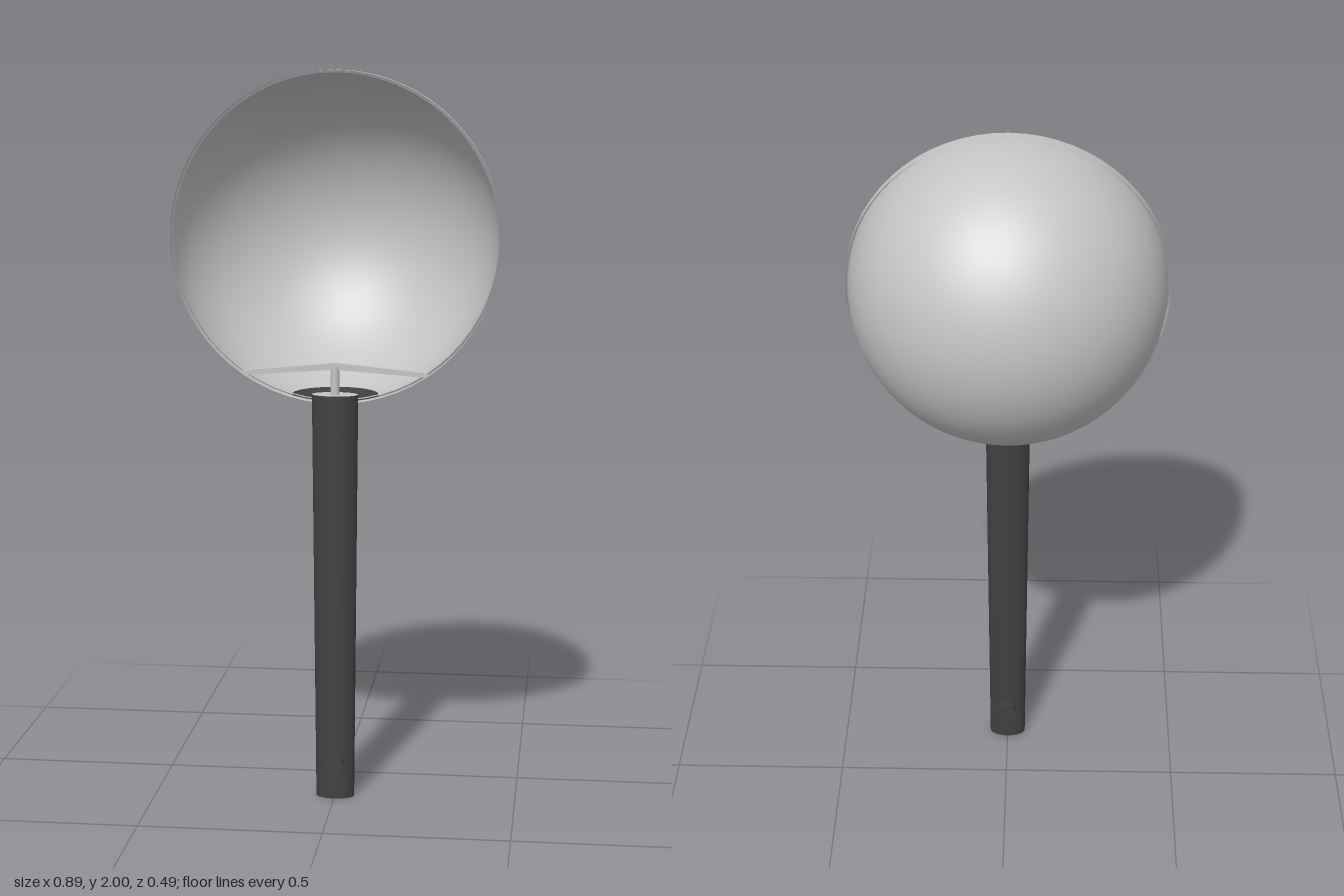
import * as THREE from 'three';

const steel = new THREE.MeshStandardMaterial({ color: 0xc4c4c4, side: THREE.DoubleSide });
steel.name = 'steel';
const darkGrip = new THREE.MeshStandardMaterial({ color: 0x404040, side: THREE.DoubleSide });
darkGrip.name = 'darkGrip';

const CENTER_Y = 1.555, RIM_Z = 0.197, BOWL_R = 0.438;

export function createModel() {
  const model = new THREE.Group();
  const add = (name, geometry, material, x = 0, y = 0, z = RIM_Z) => {
    const mesh = new THREE.Mesh(geometry, material);
    mesh.name = name;
    mesh.position.set(x, y, z);
    model.add(mesh);
    return mesh;
  };

  // Hemispherical bowl, open towards the front
  const bowl = new THREE.SphereGeometry(BOWL_R, 64, 24, 0, Math.PI * 2, 0, Math.PI / 2);
  bowl.rotateX(-Math.PI / 2);
  add('bowl', bowl, steel, 0, CENTER_Y);

  // Thin open band around the rim
  const band = new THREE.CylinderGeometry(0.445, 0.445, 0.032, 64, 1, true);
  band.rotateX(Math.PI / 2);
  add('rimBand', band, steel, 0, CENTER_Y, 0.194);

  // Dark half-round patch where the handle meets the bowl, inside and outside
  for (const [name, r] of [['innerSocket', BOWL_R - 0.003], ['outerSocket', BOWL_R + 0.003]]) {
    const cap = new THREE.SphereGeometry(r, 32, 6, 0, Math.PI, Math.PI - 0.27, 0.27);
    cap.rotateY(Math.PI);
    add(name, cap, darkGrip, 0, CENTER_Y);
  }

  // Flattened tapering handle with a pale top
  const handle = new THREE.CylinderGeometry(0.063, 0.053, 1.134, 40);
  handle.scale(1, 1, 0.6);
  add('handle', handle, [darkGrip, steel, darkGrip], 0, 0.567);

  // Cross pin near the foot of the handle
  const pin = new THREE.CylinderGeometry(0.026, 0.026, 0.1, 24);
  pin.rotateX(Math.PI / 2);
  add('crossPin', pin, darkGrip, 0, 0.105);

  // Shallow peaked bar across the lower rim, with its post
  const barShape = new THREE.Shape([
    [-0.25, 1.184], [0, 1.202], [0.25, 1.184], [0.25, 1.196], [0, 1.22], [-0.25, 1.196],
  ].map(([x, y]) => new THREE.Vector2(x, y)));
  const bar = new THREE.ExtrudeGeometry(barShape, { depth: 0.014, bevelEnabled: false });
  add('crossBar', bar, steel, 0, 0, RIM_Z - 0.007);
  add('barPost', new THREE.CylinderGeometry(0.012, 0.012, 0.08, 16), steel, 0, 1.172);

  return model;
}
